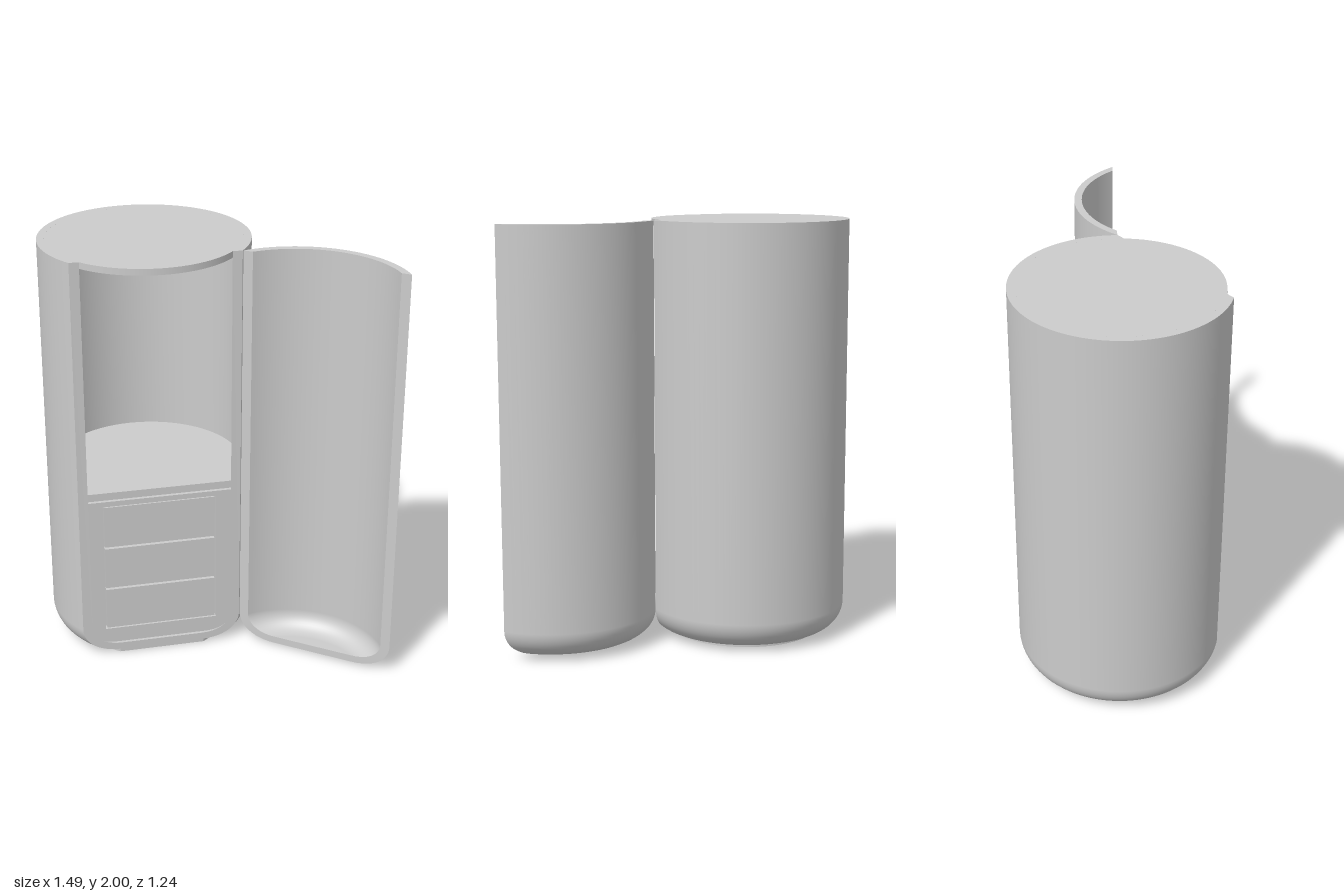
import * as THREE from 'three';

const R = 0.485, RI = 0.45;   // outer and inner radius of the shell
const CUT = 0.295;            // plane where the door parts from the body
const FACE = 0.28;            // front plane of the drawer unit
const TOP = 2;

const material = new THREE.MeshStandardMaterial({ color: 0xcccccc, side: THREE.DoubleSide });

function add(parent, geometry, name, x = 0, y = 0, z = 0) {
  const mesh = new THREE.Mesh(geometry, material);
  mesh.name = name;
  mesh.position.set(x, y, z);
  parent.add(mesh);
  return mesh;
}

// Wall profile [radius, height]: flat bottom, rounded corner, straight side
function profile(radius, bottom, top) {
  const corner = 0.145 - bottom, points = [[0, bottom], [CUT, bottom]];
  for (let i = 0; i <= 12; i++) {
    const a = (i / 12) * Math.PI / 2;
    points.push([radius - corner + corner * Math.sin(a), 0.145 - corner * Math.cos(a)]);
  }
  points.push([radius, top]);
  return points;
}
const outer = profile(R, 0.015, TOP);
const inner = profile(RI, 0.05, TOP);

// Surface of revolution stopped at the cut plane, on the body or the door side
function cutLathe(points, isDoor) {
  const steps = isDoor ? 40 : 80, positions = [], index = [];
  const rows = isDoor ? points.filter(p => p[0] >= CUT) : points;
  rows.forEach(([r, y], i) => {
    const half = Math.acos(CUT / Math.max(r, CUT));
    const from = isDoor ? -half : half, to = isDoor ? half : 2 * Math.PI - half;
    for (let j = 0; j <= steps; j++) {
      const a = from + (to - from) * j / steps;
      positions.push(r * Math.sin(a), y, r * Math.cos(a));
      if (i < rows.length - 1 && j < steps) {
        const p = i * (steps + 1) + j, q = p + steps + 1;
        index.push(p, p + 1, q, p + 1, q + 1, q);
      }
    }
  });
  const geometry = new THREE.BufferGeometry();
  geometry.setAttribute('position', new THREE.Float32BufferAttribute(positions, 3));
  geometry.setIndex(index);
  geometry.computeVertexNormals();
  return geometry;
}

// Outline of a profile on a plane of constant z, from top left round to top right
function outline(points, z) {
  const right = points.filter(p => p[0] > z)
    .map(([r, y]) => new THREE.Vector2(Math.sqrt(r * r - z * z), y));
  const left = right.map(p => new THREE.Vector2(-p.x, p.y)).reverse();
  return [...left, ...right];
}

function buildShell(parent, isDoor, name) {
  const shell = new THREE.Group();
  shell.name = name;
  add(shell, cutLathe(outer, isDoor), name + 'OuterWall');
  add(shell, cutLathe([...inner].reverse(), isDoor), name + 'InnerWall');
  add(shell, cutLathe([[R, TOP], [RI, TOP]], isDoor), name + 'TopRim');
  const edge = new THREE.Shape([...outline(outer, CUT), ...outline(inner, CUT).reverse()]);
  const geometry = new THREE.ShapeGeometry(edge);
  if (isDoor) {
    // The door's edge faces backward
    geometry.scale(1, 1, -1);
    geometry.rotateY(Math.PI);
    geometry.computeVertexNormals();
    geometry.attributes.normal.array.forEach((v, i, n) => { n[i] = i % 3 === 2 ? -1 : 0; });
    const ix = geometry.index.array;
    const p = geometry.attributes.position;
    const cross = (p.getX(ix[1]) - p.getX(ix[0])) * (p.getY(ix[2]) - p.getY(ix[0]))
      - (p.getY(ix[1]) - p.getY(ix[0])) * (p.getX(ix[2]) - p.getX(ix[0]));
    if (cross > 0) ix.reverse();
  }
  add(shell, geometry, name + 'FrontEdge', 0, 0, CUT);
  parent.add(shell);
  return shell;
}

// Horizontal disc with its front sliced off at z = front, top face at y
function cutDisc(parent, name, radius, front, y, thickness) {
  const a = Math.asin(front / radius);
  const shape = new THREE.Shape().absarc(0, 0, radius, Math.PI - a, 2 * Math.PI + a, false);
  const geometry = new THREE.ExtrudeGeometry(shape, { depth: thickness, bevelEnabled: false, curveSegments: 64 });
  geometry.rotateX(Math.PI / 2);
  return add(parent, geometry, name, 0, y, 0);
}

export function createModel() {
  const model = new THREE.Group();
  model.name = 'roundCabinet';
  const cabinet = new THREE.Group();
  cabinet.name = 'cabinet';
  cabinet.position.set(-0.26, 0, -0.14);
  model.add(cabinet);

  // Body, foot and lid
  buildShell(cabinet, false, 'body');
  cutDisc(cabinet, 'foot', 0.36, CUT, 0.016, 0.016);
  add(cabinet, new THREE.CylinderGeometry(RI, RI, 0.03, 96), 'lid', 0, TOP - 0.015, 0);

  // Countertop with a shadow gap over a second board
  cutDisc(cabinet, 'countertop', RI, CUT - 0.005, 0.87, 0.037);
  cutDisc(cabinet, 'gapBoard', RI, FACE - 0.02, 0.833, 0.01);
  cutDisc(cabinet, 'lowerBoard', RI, CUT - 0.005, 0.824, 0.026);

  // Front frame of the drawer unit, with an opening for the drawers
  const frame = new THREE.Shape(outline(profile(RI, 0.05, 0.8), FACE));
  frame.holes.push(new THREE.Path([
    new THREE.Vector2(-0.272, 0.128), new THREE.Vector2(-0.272, 0.795),
    new THREE.Vector2(0.272, 0.795), new THREE.Vector2(0.272, 0.128)]));
  add(cabinet, new THREE.ExtrudeGeometry(frame, { depth: 0.03, bevelEnabled: false }),
    'drawerFrame', 0, 0, FACE - 0.03);
  add(cabinet, new THREE.BoxGeometry(0.56, 0.69, 0.01), 'drawerBacking', 0, 0.46, FACE - 0.035);

  // Three drawers separated by narrow gaps
  for (let i = 0; i < 3; i++) {
    add(cabinet, new THREE.BoxGeometry(0.53, 0.211, 0.03), 'drawer' + (i + 1),
      0, 0.24 + i * 0.2215, FACE - 0.015);
  }

  // Door, swung open about the hinge on the left edge
  const hingeX = Math.sqrt(R * R - CUT * CUT);
  const hinge = new THREE.Group();
  hinge.name = 'doorHinge';
  hinge.position.set(hingeX + 0.003, 0, CUT);
  hinge.rotation.y = 2.494;
  cabinet.add(hinge);
  buildShell(hinge, true, 'door').position.set(-hingeX, 0, -CUT);

  return model;
}
